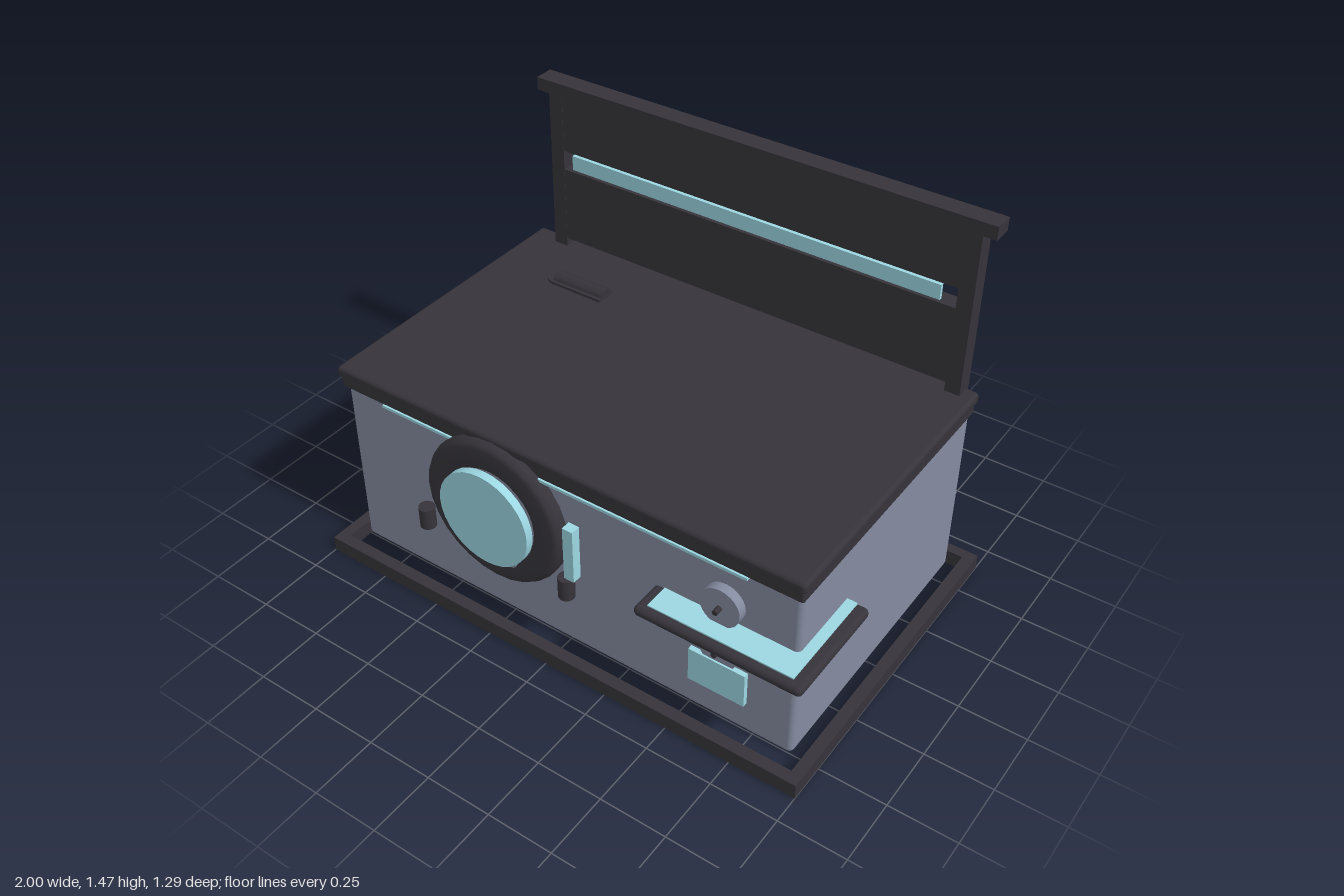
import * as THREE from 'three';
import { RoundedBoxGeometry } from 'three/addons/geometries/RoundedBoxGeometry.js';

export function createModel() {
  const model = new THREE.Group();
  model.name = 'washStand';

  const mat = (name, color) => {
    const m = new THREE.MeshStandardMaterial({ color });
    m.name = name;
    return m;
  };
  const dark = mat('charcoal', 0x36343a);
  const grey = mat('blueGrey', 0x848b9f);
  const teal = mat('paleTeal', 0x9cd7e2);

  const add = (name, geo, material, x = 0, y = 0, z = 0) => {
    const mesh = new THREE.Mesh(geo, material);
    mesh.name = name;
    mesh.position.set(x, y, z);
    model.add(mesh);
    return mesh;
  };
  // Box given by its limits; a radius rounds the edges
  const box = (name, material, [x0, x1], [y0, y1], [z0, z1], r = 0) => {
    const s = [x1 - x0, y1 - y0, z1 - z0];
    const geo = r ? new RoundedBoxGeometry(...s, 3, r) : new THREE.BoxGeometry(...s);
    return add(name, geo, material, (x0 + x1) / 2, (y0 + y1) / 2, (z0 + z1) / 2);
  };
  // Round part whose axis points to the front
  const disc = (name, material, x, y, r, z0, z1, sides = 32) => {
    const geo = new THREE.CylinderGeometry(r, r, z1 - z0, sides).rotateX(Math.PI / 2);
    return add(name, geo, material, x, y, (z0 + z1) / 2);
  };

  // Open base frame
  box('baseFront', dark, [-1, 1], [0, 0.06], [0.6, 0.645]);
  box('baseBack', dark, [-1, 1], [0, 0.06], [-0.645, -0.605]);
  box('baseRight', dark, [-1, -0.957], [0, 0.06], [-0.605, 0.6]);
  box('baseLeft', dark, [0.957, 1], [0, 0.06], [-0.605, 0.6]);

  // Cabinet and two-layer lid
  box('cabinet', grey, [-0.96, 0.902], [0.003, 0.72], [-0.605, 0.505], 0.02);
  box('lidRim', dark, [-0.975, 0.908], [0.695, 0.742], [-0.62, 0.515], 0.008);
  box('lid', dark, [-0.982, 0.918], [0.74, 0.785], [-0.63, 0.527], 0.016);
  box('frontStrip', teal, [-0.78, 0.713], [0.689, 0.7], [0.5, 0.522]);

  // Back rack with panels flush to the posts
  for (const x of [-0.84, 0.84]) {
    box('rackPost', dark, [x - 0.029, x + 0.029], [0.003, 1.42], [-0.637, -0.568]);
  }
  box('lowerPanel', dark, [-0.811, 0.811], [0.82, 1.12], [-0.636, -0.569]);
  box('upperPanel', dark, [-0.811, 0.811], [1.198, 1.42], [-0.636, -0.569]);
  box('rackCap', dark, [-0.92, 0.918], [1.418, 1.468], [-0.642, -0.565]);
  box('rackStrip', teal, [-0.76, 0.757], [1.14, 1.198], [-0.569, -0.555]);

  // Grip on the lid: low ridge with a rounded end
  const ridge = new THREE.CylinderGeometry(0.034, 0.034, 0.225, 8).rotateZ(Math.PI / 2);
  add('lidGrip', ridge, dark, -0.583, 0.786, -0.363);
  box('lidGripBase', dark, [-0.695, -0.47], [0.78, 0.795], [-0.403, -0.32]);
  add('lidGripEnd', new THREE.CylinderGeometry(0.04, 0.04, 0.015, 24), dark, -0.695, 0.7875, -0.362);

  // Round door: bevelled ring, backing, catch and window
  const profile = [[0.18, 0], [0.18, 0.045], [0.195, 0.056], [0.265, 0.056],
    [0.282, 0.048], [0.291, 0.03], [0.291, 0]].map(p => new THREE.Vector2(...p));
  const ring = new THREE.LatheGeometry(profile.reverse(), 28).rotateX(Math.PI / 2);
  add('doorRing', ring, dark, -0.282, 0.477, 0.503);
  disc('doorBacking', grey, -0.282, 0.477, 0.185, 0.5, 0.53);
  disc('doorCatch', grey, -0.2, 0.308, 0.025, 0.55, 0.565, 16);
  disc('doorWindow', teal, -0.282, 0.48, 0.19, 0.567, 0.598);

  // Small round pegs beside the door, and its handle
  for (const x of [-0.588, 0.032]) {
    add('doorPeg', new THREE.CylinderGeometry(0.03, 0.03, 0.085, 20), dark, x, 0.313, 0.553);
  }
  box('doorHandle', teal, [0.046, 0.087], [0.38, 0.6], [0.543, 0.58]);

  // Dials with centre pins
  for (const y of [0.543, 0.355]) {
    disc('dial', grey, 0.63, y, 0.075, 0.5, 0.54);
    disc('dialPin', dark, 0.63, y, 0.01, 0.54, 0.568, 12);
  }
  box('dialPlate', teal, [0.522, 0.738], [0.167, 0.305], [0.528, 0.547]);

  // Corner shelf with an inlaid top
  box('shelf', dark, [0.36, 0.983], [0.43, 0.47], [0.2, 0.632], 0.019);
  box('shelfTop', teal, [0.4, 0.94], [0.467, 0.475], [0.21, 0.602]);

  return model;
}
